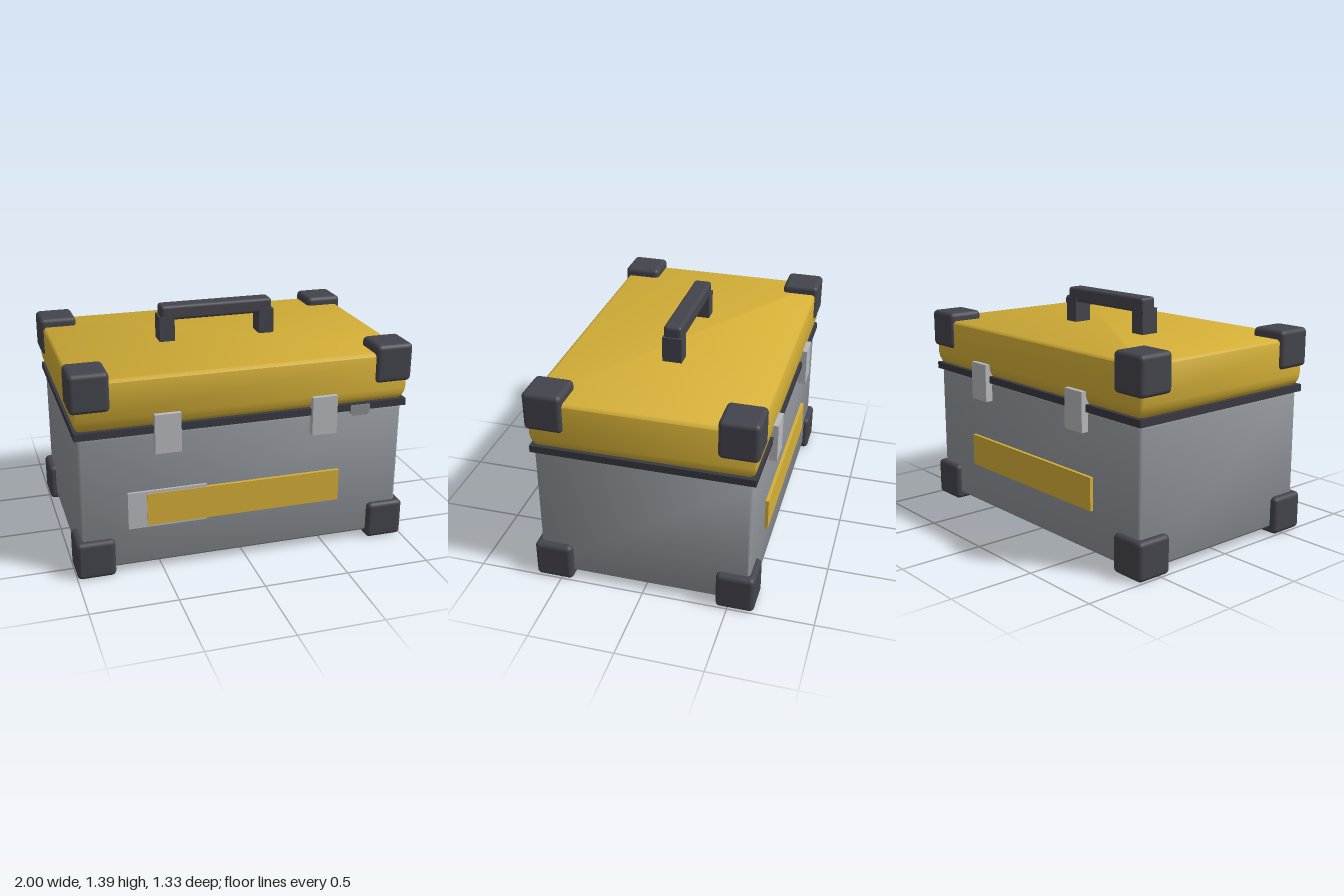
import * as THREE from 'three';
import { toCreasedNormals } from 'three/addons/utils/BufferGeometryUtils.js';
import { RoundedBoxGeometry } from 'three/addons/geometries/RoundedBoxGeometry.js';

function material(name, color) {
  const m = new THREE.MeshStandardMaterial({ color });
  m.name = name;
  return m;
}

// Closed box built from stacked chamfered rectangles; rings are [inset, y] from bottom to top
function loftBox(halfX, halfZ, chamfer, rings) {
  const pos = [], idx = [], n = 8;
  for (const [inset, y] of rings) {
    const x = halfX - inset, z = halfZ - inset, c = chamfer;
    const ring = [[x, z - c], [x - c, z], [-x + c, z], [-x, z - c], [-x, -z + c], [-x + c, -z], [x - c, -z], [x, -z + c]];
    ring.forEach(([px, pz]) => pos.push(px, y, pz));
  }
  for (let r = 0; r < rings.length - 1; r++) {
    for (let i = 0; i < n; i++) {
      const a = r * n + i, b = r * n + (i + 1) % n;
      idx.push(a, a + n, b, b, a + n, b + n);
    }
  }
  const top = (rings.length - 1) * n;
  for (let i = 1; i < n - 1; i++) {
    idx.push(0, i, i + 1);
    idx.push(top, top + i + 1, top + i);
  }
  const g = new THREE.BufferGeometry();
  g.setAttribute('position', new THREE.Float32BufferAttribute(pos, 3));
  g.setIndex(idx);
  return toCreasedNormals(g, 0.9);
}

export function createModel() {
  const yellow = material('yellow', 0xd4af37);
  const grey = material('bodyGrey', 0x8f9398);
  const dark = material('darkRubber', 0x44444d);
  const seamDark = material('sealDark', 0x393a41);
  const metal = material('lightMetal', 0xb8b9bd);
  const lockGrey = material('lockGrey', 0x8b8f90);

  const group = new THREE.Group();
  group.name = 'toolCase';

  const add = (name, geometry, mat, x = 0, y = 0, z = 0) => {
    const mesh = new THREE.Mesh(geometry, mat);
    mesh.name = name;
    mesh.position.set(x, y, z);
    group.add(mesh);
    return mesh;
  };
  // Box given by its limits on each axis
  const block = (name, mat, x0, x1, y0, y1, z0, z1, radius = 0) => {
    const s = [x1 - x0, y1 - y0, z1 - z0];
    const g = radius ? new RoundedBoxGeometry(...s, 3, radius) : new THREE.BoxGeometry(...s);
    return add(name, g, mat, (x0 + x1) / 2, (y0 + y1) / 2, (z0 + z1) / 2);
  };

  // Main shell, seal and lid
  add('body', loftBox(0.96, 0.62, 0.015, [[0.015, 0.04], [0, 0.055], [0, 0.83], [0.008, 0.855], [0.025, 0.87]]), grey);
  block('seal', seamDark, -0.98, 0.98, 0.85, 0.892, -0.638, 0.638);
  add('lid', loftBox(0.98, 0.636, 0.015, [[0.03, 0.888], [0.014, 0.905], [0.004, 0.93], [0, 0.96], [0, 1.165], [0.015, 1.18]]), yellow);

  // Eight corner guards
  for (const sx of [-1, 1]) {
    for (const sz of [-1, 1]) {
      for (const y of [0.115, 1.118]) {
        add('cornerGuard', new RoundedBoxGeometry(0.225, 0.228, 0.225, 3, 0.028), dark, sx * 0.8875, y, sz * 0.541);
      }
    }
  }

  // Latches on the front and back
  for (const sx of [-1, 1]) {
    for (const sz of [-1, 1]) {
      add('latch', new THREE.BoxGeometry(0.15, 0.23, 0.05), metal, sx * 0.462, 0.85, sz * 0.64);
    }
  }

  // Carry handle
  for (const sx of [-1, 1]) {
    add('handlePost', new THREE.BoxGeometry(0.092, 0.16, 0.115), dark, sx * 0.31, 1.25, 0);
  }
  block('handleGrip', dark, -0.345, 0.345, 1.305, 1.395, -0.054, 0.054, 0.02);

  // Side stripes and the front label plate
  for (const sz of [-1, 1]) {
    add('stripe', new THREE.BoxGeometry(1.16, 0.195, 0.025), yellow, -0.005 * sz, 0.387, sz * 0.627);
  }
  block('labelPlate', metal, -0.695, -0.235, 0.277, 0.5, 0.615, 0.634);

  // Lock tab with clipped lower corners
  const tab = new THREE.Shape();
  [[0.63, 0.885], [0.63, 0.835], [0.643, 0.82], [0.737, 0.82], [0.75, 0.835], [0.75, 0.885]]
    .forEach(([x, y], i) => (i ? tab.lineTo(x, y) : tab.moveTo(x, y)));
  add('lockTab', new THREE.ExtrudeGeometry(tab, { depth: 0.028, bevelEnabled: false }), lockGrey, 0, 0, 0.615);

  return group;
}
